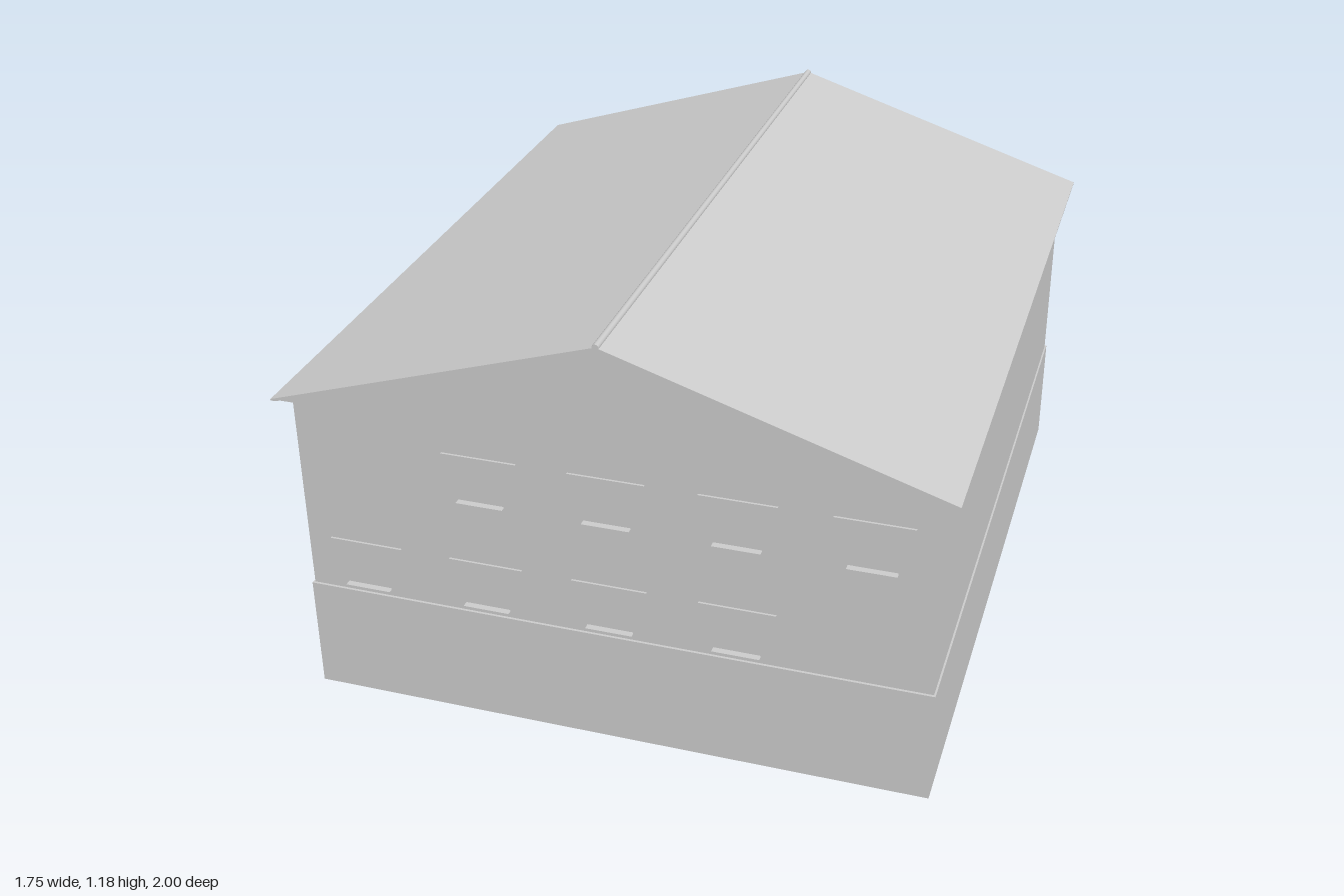
import * as THREE from 'three';

export function createModel() {
  const house = new THREE.Group();
  house.name = 'house';
  const grey = new THREE.MeshStandardMaterial({ color: 0xcccccc });
  grey.name = 'plain grey';

  const add = (parent, name, geometry, x = 0, y = 0, z = 0) => {
    const mesh = new THREE.Mesh(geometry, grey);
    mesh.name = name;
    mesh.position.set(x, y, z);
    parent.add(mesh);
    return mesh;
  };
  // Box given by its lower and upper corners
  const box = (parent, name, [x0, y0, z0], [x1, y1, z1]) =>
    add(parent, name, new THREE.BoxGeometry(x1 - x0, y1 - y0, z1 - z0),
      (x0 + x1) / 2, (y0 + y1) / 2, (z0 + z1) / 2);
  // Outline in x and y, extruded towards +z
  const extrude = (points, depth) => new THREE.ExtrudeGeometry(
    new THREE.Shape(points.map(([x, y]) => new THREE.Vector2(x, y))),
    { depth, bevelEnabled: false });

  // Plinth and walls
  box(house, 'plinth', [-0.84, 0, -0.957], [0.84, 0.32, 0.967]);
  box(house, 'walls', [-0.835, 0.32, -0.95], [0.835, 0.895, 0.96]);

  // Gabled roof: solid attic, thin covering with eaves, ridge cap
  const back = -0.99, length = 1.99;
  add(house, 'attic', extrude([[-0.86, 0.892], [0.86, 0.892], [0, 1.165]], length), 0, 0, back);
  add(house, 'roofCovering', extrude([
    [-0.874, 0.888], [-0.86, 0.888], [0, 1.163], [0.86, 0.888], [0.874, 0.888],
    [0.874, 0.892], [0, 1.17], [-0.874, 0.892]], length), 0, 0, back);
  const ridge = new THREE.CylinderGeometry(0.009, 0.009, 2, 12).rotateX(Math.PI / 2);
  add(house, 'ridgeCap', ridge, 0, 1.169, 0).scale.z = length / 2;
  house.getObjectByName('ridgeCap').position.z = back + length / 2;

  // Window: surround on three sides and a projecting sill, facing +z
  const surround = extrude([
    [-0.1, 0], [-0.0625, 0], [-0.0625, 0.1], [0.0625, 0.1],
    [0.0625, 0], [0.1, 0], [0.1, 0.135], [-0.1, 0.135]], 0.006);
  const addWindow = (x, y, onBack) => {
    const win = new THREE.Group();
    win.name = 'window';
    add(win, 'windowSurround', surround);
    box(win, 'windowSill', [-0.0625, -0.003, 0], [0.0625, 0.003, 0.018]);
    win.position.set(x, y, onBack ? -0.95 : 0.96);
    if (onBack) win.rotation.y = Math.PI;
    house.add(win);
  };
  const low = 0.34, high = 0.655, pitch = 0.335;
  for (let i = -2; i <= 2; i++) {
    const x = i * pitch;
    if (i < 2) addWindow(x, low, false);
    if (i > -2) addWindow(x, high, false);
    if (i < 2) addWindow(x, low, true);
    addWindow(x, high, true);
  }

  // Back door with frame, leaf, glazing bars, handle and step
  const door = new THREE.Group();
  door.name = 'door';
  for (const s of [-1, 1]) {
    box(door, 'doorJamb', [s * 0.054 - 0.009, 0.255, 0], [s * 0.054 + 0.009, 0.467, 0.014]);
  }
  box(door, 'doorHead', [-0.045, 0.449, 0], [0.045, 0.467, 0.014]);
  box(door, 'doorLeaf', [-0.045, 0.255, 0], [0.045, 0.449, 0.008]);
  box(door, 'doorMullion', [-0.006, 0.26, 0.008], [0.006, 0.449, 0.012]);
  box(door, 'doorRail', [-0.045, 0.35, 0.008], [0.045, 0.36, 0.012]);
  box(door, 'doorHandle', [0.008, 0.34, 0.008], [0.02, 0.346, 0.022]);
  box(door, 'doorStep', [-0.064, 0.245, 0], [0.064, 0.258, 0.05]);
  door.position.set(0.665, 0, -0.95);
  door.rotation.y = Math.PI;
  house.add(door);

  return house;
}
